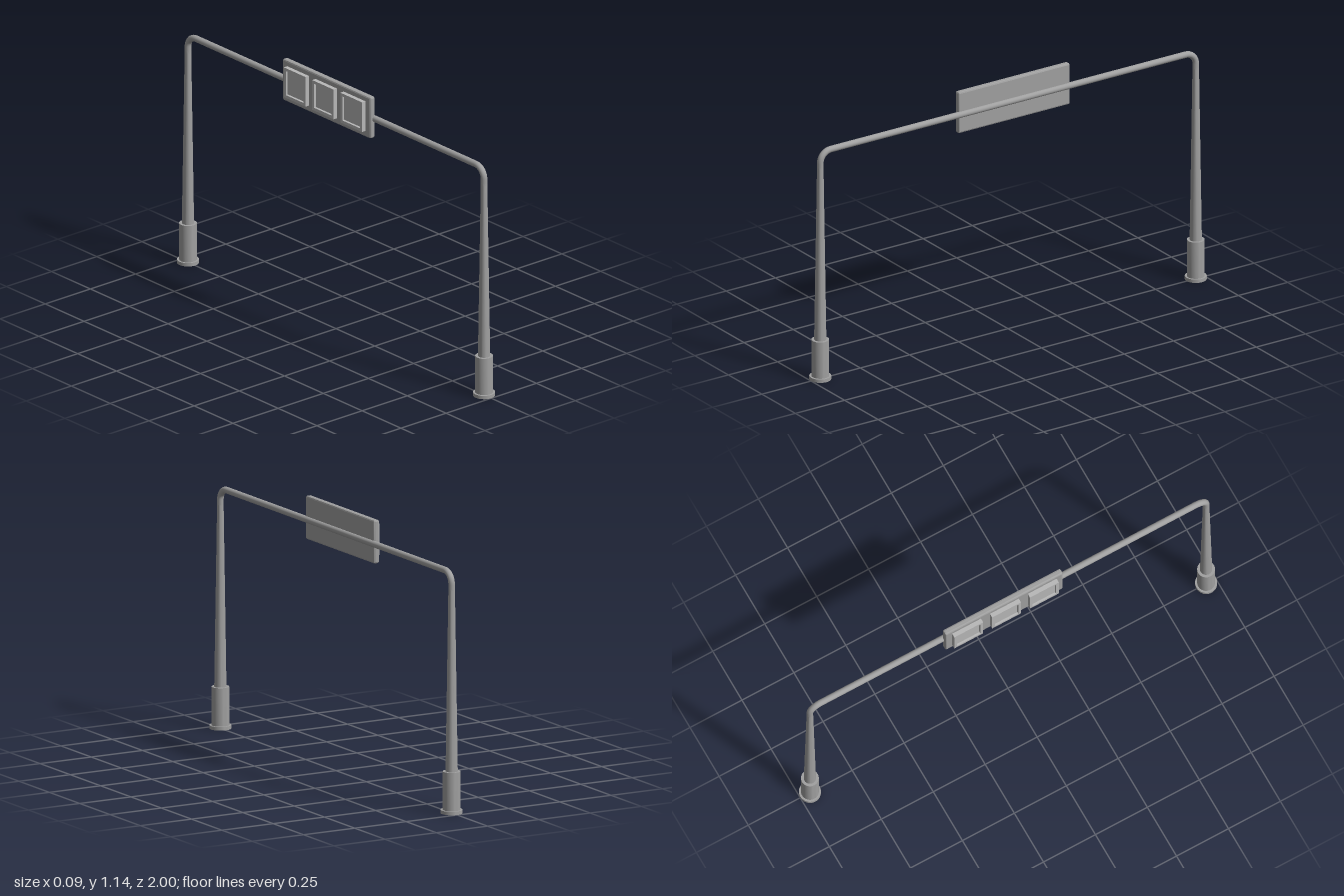
import * as THREE from 'three';
import { toCreasedNormals } from 'three/addons/utils/BufferGeometryUtils.js';
import { RoundedBoxGeometry } from 'three/addons/geometries/RoundedBoxGeometry.js';

const steel = new THREE.MeshStandardMaterial({ color: 0xa0a0a0 });
const displayGrey = new THREE.MeshStandardMaterial({ color: 0xb8b8b8 });
const POLE_Z = 0.9535, BEAM_Y = 1.034, PIPE_R = 0.014, BEND = 0.052;

function addMesh(parent, name, geometry, material, x = 0, y = 0, z = 0) {
  const mesh = new THREE.Mesh(geometry, material);
  mesh.name = name;
  mesh.position.set(x, y, z);
  parent.add(mesh);
  return mesh;
}

function lathe(points, sides = 32) {
  const profile = points.map(([r, y]) => new THREE.Vector2(r, y));
  return toCreasedNormals(new THREE.LatheGeometry(profile, sides), 0.5);
}

// Footing with flange, and the tapered pole standing in it
function makePost() {
  const post = new THREE.Group();
  addMesh(post, 'footing', lathe([
    [0, 0], [0.0465, 0], [0.0465, 0.015], [0.0375, 0.015],
    [0.0375, 0.18], [0.025, 0.18],
  ]), steel);
  addMesh(post, 'taperedPole', lathe([[0.026, 0.17], [0.0136, BEAM_Y - BEND]]), steel);
  return post;
}

// Horizontal pipe with a rounded elbow at each end, reaching down into the poles
function makeBeam() {
  const end = [[BEAM_Y - BEND - 0.035, POLE_Z]];
  for (let i = 0; i <= 10; i++) {
    const a = (i / 10) * Math.PI / 2;
    end.push([BEAM_Y - BEND + BEND * Math.sin(a), POLE_Z - BEND + BEND * Math.cos(a)]);
  }
  const points = [
    ...end.map(([y, z]) => new THREE.Vector3(0, y, z)),
    ...end.slice().reverse().map(([y, z]) => new THREE.Vector3(0, y, -z)),
  ];
  const path = new THREE.CurvePath();
  for (let i = 1; i < points.length; i++) path.add(new THREE.LineCurve3(points[i - 1], points[i]));
  return new THREE.TubeGeometry(path, 240, PIPE_R, 20);
}

// Open rectangular frame, facing -x
function makeFrame(width, height, rim, depth) {
  const rect = (target, w, h) => {
    target.moveTo(-w, -h);
    target.lineTo(w, -h);
    target.lineTo(w, h);
    target.lineTo(-w, h);
    target.closePath();
    return target;
  };
  const shape = rect(new THREE.Shape(), width / 2, height / 2);
  shape.holes.push(rect(new THREE.Path(), width / 2 - rim, height / 2 - rim));
  const geometry = new THREE.ExtrudeGeometry(shape, { depth, bevelEnabled: false });
  return geometry.rotateY(-Math.PI / 2);
}

export function createModel() {
  const model = new THREE.Group();
  model.name = 'overheadSignGantry';

  for (const side of [1, -1]) {
    const post = makePost();
    post.name = side > 0 ? 'frontPost' : 'backPost';
    post.position.z = side * POLE_Z;
    model.add(post);
  }
  addMesh(model, 'beam', makeBeam(), steel);

  // Chamfered sign board hung on the beam, with three framed displays
  const sign = new THREE.Group();
  sign.name = 'sign';
  sign.position.set(-0.0125, 1.042, -0.032);
  model.add(sign);
  const board = toCreasedNormals(new RoundedBoxGeometry(0.027, 0.187, 0.566, 1, 0.007), 0.3);
  addMesh(sign, 'signBoard', board, steel);
  for (let i = -1; i <= 1; i++) {
    const display = new THREE.Group();
    display.name = 'display';
    display.position.set(-0.0125, 0.0015, i * 0.182);
    addMesh(display, 'displayFrame', makeFrame(0.139, 0.135, 0.013, 0.02), displayGrey);
    addMesh(display, 'displayScreen', new THREE.BoxGeometry(0.012, 0.105, 0.109), displayGrey, -0.006);
    sign.add(display);
  }
  return model;
}
